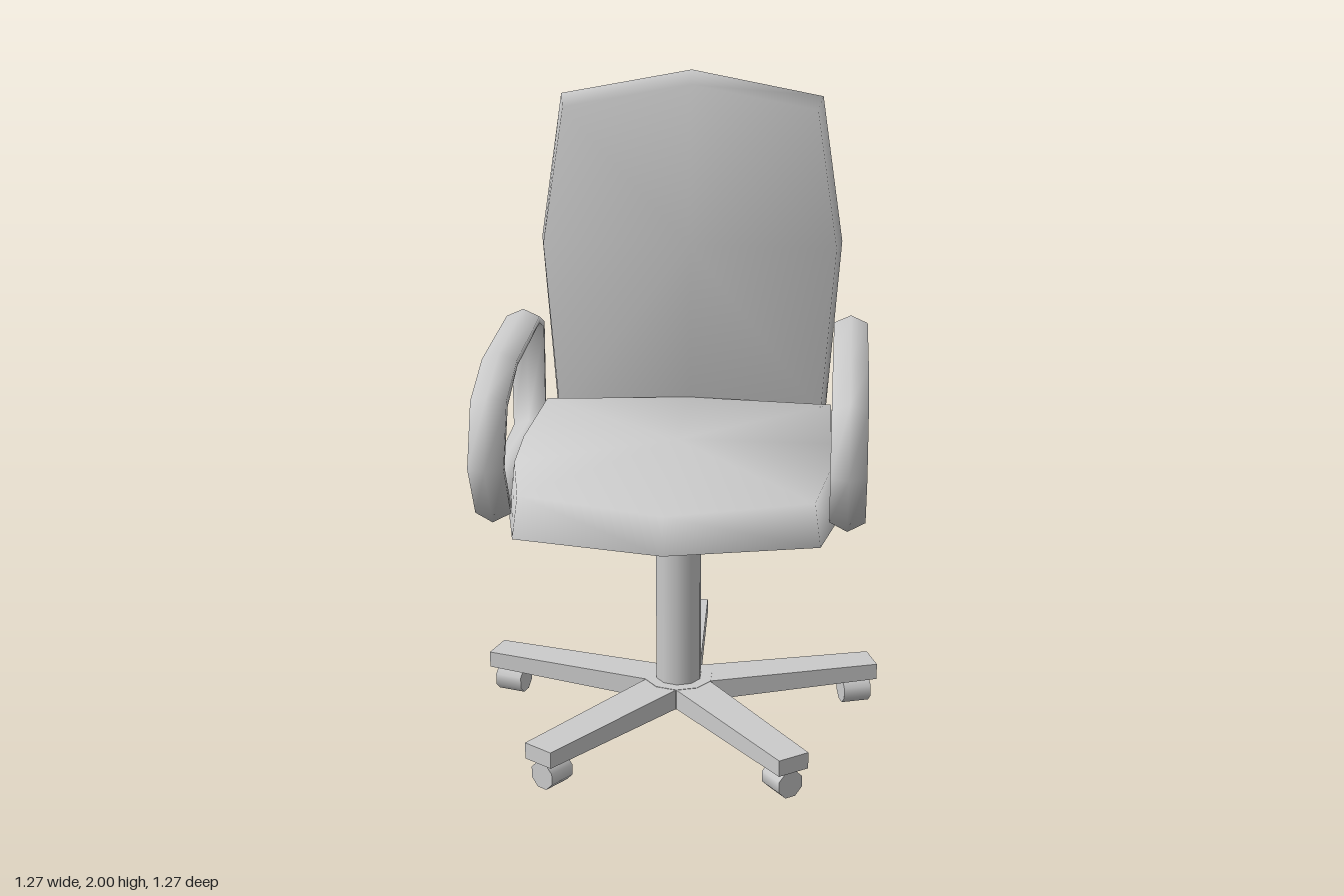
import * as THREE from 'three';

const material = new THREE.MeshStandardMaterial({ color: 0xcccccc });

function addMesh(parent, name, geometry) {
  const mesh = new THREE.Mesh(geometry, material);
  mesh.name = name;
  parent.add(mesh);
  return mesh;
}

// Skin a list of equal-length closed rings. Caps are single centre points;
// without caps the last ring joins the first one.
function skin(rings, capStart, capEnd) {
  const n = rings[0].length, points = rings.flat(), index = [];
  const spans = capStart ? rings.length - 1 : rings.length;
  for (let r = 0; r < spans; r++) {
    const a = r * n, b = ((r + 1) % rings.length) * n;
    for (let i = 0; i < n; i++) {
      const j = (i + 1) % n;
      index.push(a + i, a + j, b + j, a + i, b + j, b + i);
    }
  }
  if (capStart) {
    const last = (rings.length - 1) * n, s = points.length;
    points.push(capStart, capEnd);
    for (let i = 0; i < n; i++) {
      const j = (i + 1) % n;
      index.push(s, j, i, s + 1, last + i, last + j);
    }
  }
  // Turn the faces outward if the enclosed volume comes out negative
  const v = points.map((p) => new THREE.Vector3(...p));
  let volume = 0;
  for (let i = 0; i < index.length; i += 3) {
    volume += v[index[i]].dot(v[index[i + 1]].clone().cross(v[index[i + 2]]));
  }
  if (volume < 0) index.reverse();
  const g = new THREE.BufferGeometry();
  g.setAttribute('position', new THREE.Float32BufferAttribute(points.flat(), 3));
  g.setIndex(index);
  g.computeVertexNormals();
  return g;
}

// Complete a half outline (first and last points on x = 0) by mirroring
const mirrored = (half) => [
  ...half,
  ...half.slice(1, -1).reverse().map(([x, ...rest]) => [-x, ...rest]),
];

function seatGeometry() {
  // x, z, top height, bottom height
  const outline = mirrored([
    [0, -0.45, 0.935, 0.78], [0.465, -0.4, 0.935, 0.78], [0.47, 0.1, 0.97, 0.78],
    [0.47, 0.3, 0.955, 0.785], [0.43, 0.52, 0.93, 0.795], [0, 0.635, 0.92, 0.80],
  ]);
  const bottom = outline.map(([x, z, , y]) => [x * 1.04, y, z]);
  const top = outline.map(([x, z, y]) => [x, y, z]);
  // The bottom ring is doubled to keep its edge sharp
  return skin([bottom, bottom, top], [0, 0.78, 0.1], [0, 0.972, 0.1]);
}

function backrestGeometry() {
  // x, y, front z, back z
  const outline = mirrored([
    [0, 2, -0.45, -0.635], [0.42, 1.92, -0.447, -0.637], [0.49, 1.45, -0.433, -0.635],
    [0.447, 0.86, -0.445, -0.61], [0, 0.8, -0.45, -0.605],
  ]);
  const inset = (x, y) => [x * 0.965, 1.4 + (y - 1.4) * 0.943];
  const front = outline.map(([x, y, z]) => [...inset(x, y), z]);
  const middle = outline.map(([x, y]) => [x, y, -0.535]);
  const back = outline.map(([x, y, , z]) => [...inset(x, y), z]);
  return skin([front, middle, back], [0, 1.45, -0.44], [0, 1.45, -0.638]);
}

function armrestGeometry() {
  // outer z, y and inner z, y around the loop
  const loop = [
    [0.2, 1.265, 0.185, 1.2], [-0.3, 1.265, -0.285, 1.2], [-0.43, 1.21, -0.36, 1.17],
    [-0.43, 0.8, -0.36, 0.87], [0.4, 0.8, 0.365, 0.87], [0.525, 1.0, 0.455, 1.0],
    [0.445, 1.205, 0.365, 1.135],
  ];
  // x offset and blend from outer to inner edge
  const section = [[0, 0], [0.053, 0.35], [0.053, 0.65], [0, 1], [-0.053, 0.65], [-0.053, 0.35]];
  return skin(loop.map(([oz, oy, iz, iy]) =>
    section.map(([x, t]) => [x, oy + (iy - oy) * t, oz + (iz - oz) * t])));
}

function legGeometry() {
  // Bar along +z, a little wider and deeper at the hub
  const g = new THREE.BoxGeometry(1, 1, 0.65).translate(0, 0, 0.325);
  const p = g.attributes.position;
  for (let i = 0; i < p.count; i++) {
    const hub = p.getZ(i) < 0.1;
    const up = p.getY(i) > 0;
    p.setX(i, p.getX(i) * (hub ? 0.13 : 0.105));
    p.setY(i, hub ? (up ? 0.148 : 0.08) : (up ? 0.14 : 0.088));
  }
  g.computeVertexNormals();
  return g;
}

function leverGeometry() {
  // Flat paddle on a narrow neck, drawn along +x
  const half = [[0.04, 0.018], [0.22, 0.02], [0.28, 0.055], [0.34, 0.066], [0.41, 0.05], [0.44, 0.02]];
  const outline = [...half, ...half.slice().reverse().map(([x, y]) => [x, -y])];
  const shape = new THREE.Shape(outline.map(([x, y]) => new THREE.Vector2(x, y)));
  return new THREE.ExtrudeGeometry(shape, { depth: 0.03, bevelEnabled: false })
    .rotateX(-Math.PI / 2);
}

export function createModel() {
  const chair = new THREE.Group();
  chair.name = 'officeChair';

  addMesh(chair, 'seat', seatGeometry());
  addMesh(chair, 'backrest', backrestGeometry());

  // Armrest loops
  const armrest = armrestGeometry();
  addMesh(chair, 'leftArmrest', armrest).position.x = 0.523;
  addMesh(chair, 'rightArmrest', armrest).position.x = -0.523;

  // Swivel base, slightly forward of the centre
  const base = new THREE.Group();
  base.name = 'base';
  base.position.z = 0.02;
  chair.add(base);
  addMesh(base, 'column', new THREE.CylinderGeometry(0.073, 0.073, 0.7, 10)).position.y = 0.44;
  addMesh(base, 'hub', new THREE.CylinderGeometry(0.11, 0.11, 0.068, 10)).position.y = 0.114;
  addMesh(base, 'heightLever', leverGeometry()).position.y = 0.698;

  // Five legs with casters, one pointing straight back
  const leg = legGeometry();
  const caster = new THREE.CylinderGeometry(0.045, 0.045, 0.09, 8)
    .rotateY(Math.PI / 8).rotateX(Math.PI / 2);
  for (let i = 0; i < 5; i++) {
    const arm = new THREE.Group();
    arm.name = 'leg' + (i + 1);
    arm.rotation.y = Math.PI + (i * Math.PI * 2) / 5;
    addMesh(arm, 'legBar', leg);
    addMesh(arm, 'caster', caster).position.set(0, 0.0416, 0.59);
    base.add(arm);
  }
  return chair;
}
